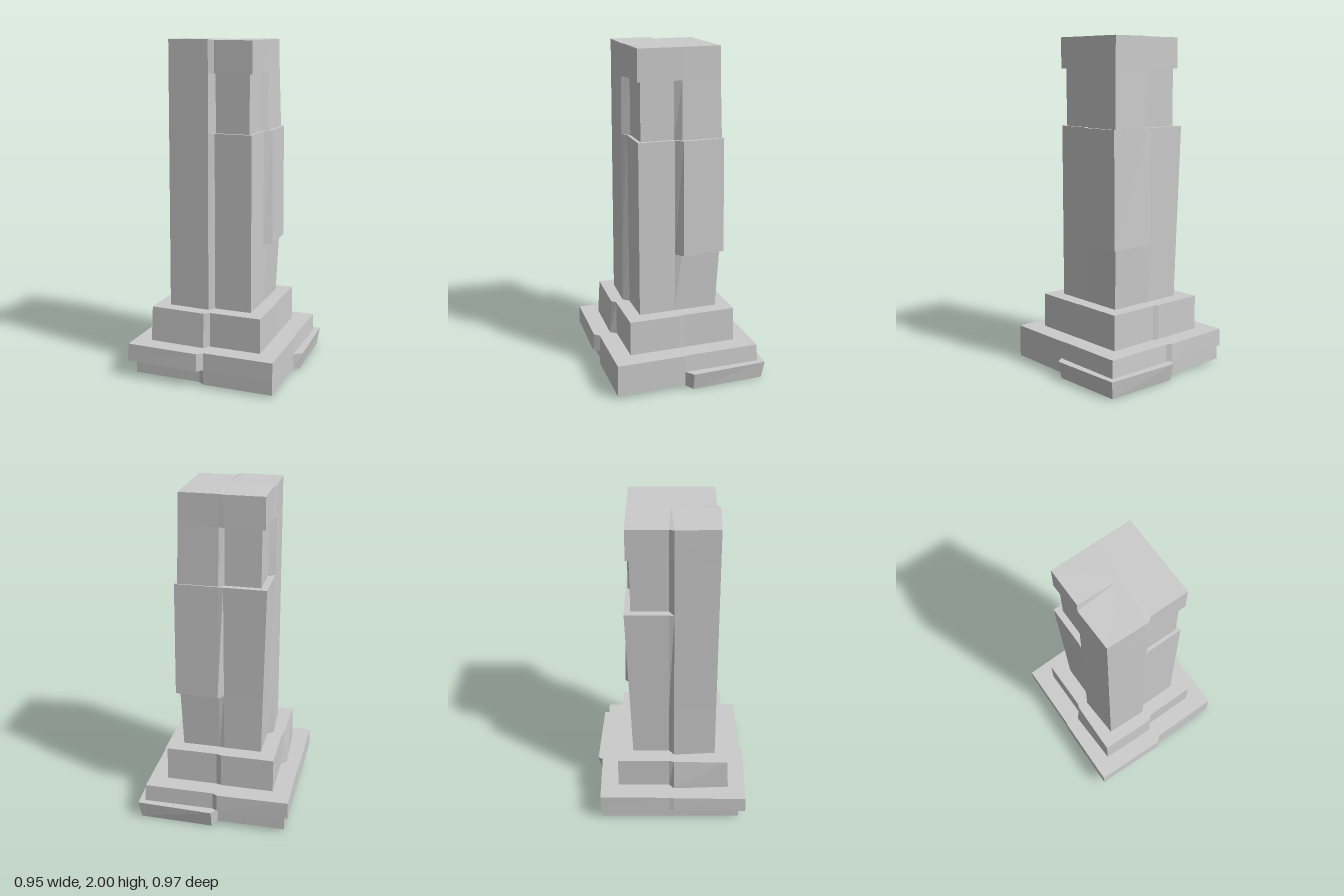
import * as THREE from 'three';

const material = new THREE.MeshStandardMaterial({ color: 0xcccccc, flatShading: true });

// Cross-section: four quadrants (front -x, front +x, back +x, back -x).
// Each is [cornerX, cornerZ, seamX, seamZ]; the seam values default to the corner's.
function ring(y, quads) {
  const ys = Array.isArray(y) ? y : [y, y, y, y];
  const seams = [
    [0.02, -0.03], // left seam z, front seam x
    [0.03, 0],     // right seam z, front seam x
    [-0.01, 0],    // right seam z, back seam x
    [-0.01, -0.03] // left seam z, back seam x
  ];
  const points = [];
  quads.forEach(([x, z, sx = x, sz = z], q) => {
    const [seamZ, seamX] = seams[q];
    const side = [sx, ys[q], seamZ];
    const face = [seamX, ys[q], sz];
    const corner = [x, ys[q], z];
    points.push(...(q % 2 === 0 ? [side, corner, face] : [face, corner, side]));
  });
  return points;
}

// One closed tier between two cross-sections
function tier(name, bottom, top) {
  const pos = [];
  const tri = (a, b, c) => pos.push(...a, ...b, ...c);
  const n = bottom.length;
  const lowCentre = [0, bottom[4][1], 0];
  const highCentre = [0, top[4][1], 0];
  for (let i = 0; i < n; i++) {
    const j = (i + 1) % n;
    tri(bottom[i], bottom[j], top[j]);
    tri(bottom[i], top[j], top[i]);
    tri(highCentre, top[i], top[j]);
    tri(lowCentre, bottom[j], bottom[i]);
  }
  const geometry = new THREE.BufferGeometry();
  geometry.setAttribute('position', new THREE.Float32BufferAttribute(pos, 3));
  geometry.computeVertexNormals();
  const mesh = new THREE.Mesh(geometry, material);
  mesh.name = name;
  return mesh;
}

// Front -x quarter of the shaft tapers evenly from foot to top
function shaftQuarter(y) {
  const t = (y - 0.42) / 1.58;
  return [-0.28 + 0.005 * t, 0.275 - 0.01 * t, -0.295 + 0.015 * t, 0.285 - 0.013 * t];
}

export function createModel() {
  const group = new THREE.Group();
  group.name = 'tower';

  // Stepped base
  group.add(tier('lowerPlinth',
    ring([0.02, 0.015, 0, 0.02], [[-0.44, 0.43], [0.425, 0.447], [0.445, -0.455, 0.455, -0.465], [-0.44, -0.435]]),
    ring(0.105, [[-0.44, 0.43], [0.425, 0.447], [0.46, -0.47, 0.475, -0.487], [-0.44, -0.435]])));
  group.add(tier('upperPlinth',
    ring(0.105, [[-0.478, 0.47, -0.472, 0.483], [0.425, 0.447], [0.425, -0.435], [-0.46, -0.44, -0.466, -0.45]]),
    ring(0.21, [[-0.475, 0.465, -0.468, 0.475], [0.425, 0.445], [0.42, -0.43], [-0.46, -0.44, -0.464, -0.448]])));
  group.add(tier('pedestal',
    ring(0.21, [[-0.37, 0.362, -0.383, 0.372], [0.312, 0.335], [0.31, -0.32], [-0.35, -0.33]]),
    ring(0.42, [[-0.365, 0.35, -0.36, 0.36], [0.312, 0.335], [0.308, -0.318], [-0.35, -0.328]])));

  // Shaft, with a raised panel at the back and notched corners near the top
  group.add(tier('lowerShaft',
    ring(0.42, [shaftQuarter(0.42), [0.225, 0.25], [0.225, -0.23], [-0.258, -0.235]]),
    ring(0.78, [shaftQuarter(0.78), [0.225, 0.25], [0.237, -0.248], [-0.265, -0.243]])));
  group.add(tier('panelledShaft',
    ring(0.78, [shaftQuarter(0.78), [0.225, 0.25], [0.26, -0.266, 0.272, -0.283], [-0.265, -0.243]]),
    ring(1.47, [shaftQuarter(1.47), [0.225, 0.25], [0.256, -0.258, 0.263, -0.26], [-0.28, -0.26]])));
  group.add(tier('notchedShaft',
    ring(1.47, [shaftQuarter(1.47), [0.205, 0.23], [0.24, -0.25], [-0.242, -0.224]]),
    ring(1.81, [shaftQuarter(1.81), [0.205, 0.23], [0.23, -0.241], [-0.242, -0.224]])));
  group.add(tier('topBlock',
    ring(1.81, [shaftQuarter(1.81), [0.227, 0.252], [0.23, -0.241], [-0.263, -0.243]]),
    ring([2, 1.995, 1.995, 1.993], [shaftQuarter(2), [0.227, 0.25], [0.227, -0.24], [-0.262, -0.241]])));

  return group;
}
